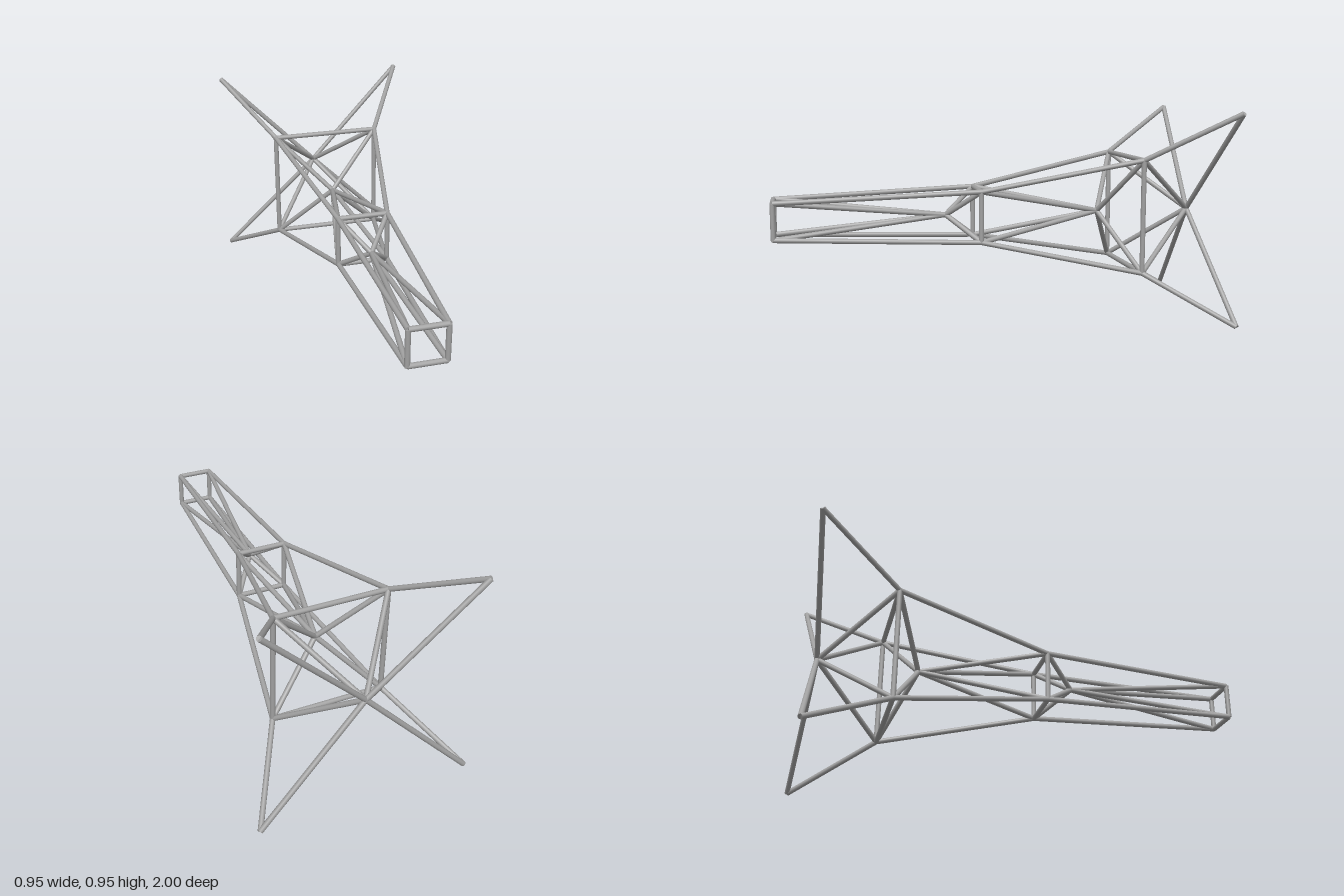
import * as THREE from 'three';

const RADIUS = 0.0115;
const CENTRE_Y = 0.475;

export function createModel() {
  const model = new THREE.Group();
  model.name = 'trussFrame';
  const steel = new THREE.MeshStandardMaterial({ color: 0xa0a0a0 });
  steel.name = 'grey steel';

  // Round bar between two points
  const strut = (name, a, b) => {
    const dir = b.clone().sub(a);
    const mesh = new THREE.Mesh(new THREE.CylinderGeometry(RADIUS, RADIUS, dir.length(), 12), steel);
    mesh.name = name;
    mesh.position.copy(a).add(b).multiplyScalar(0.5);
    mesh.quaternion.setFromUnitVectors(new THREE.Vector3(0, 1, 0), dir.normalize());
    model.add(mesh);
  };

  // Four corners of a square station along the axis
  const square = (half, z) => [[1, 1], [-1, 1], [-1, -1], [1, -1]]
    .map(([x, y]) => new THREE.Vector3(x * half, CENTRE_Y + y * half, z));

  const stations = [
    square(0.08, 0.988),
    square(0.114, 0.08),
    square(0.254, -0.627),
    square(0.465, -0.99), // free tips, no ring
  ];
  // Hub points on the axis, one in each bay
  const hubs = [0.225, -0.49, -0.935].map((z) => new THREE.Vector3(0, CENTRE_Y, z));

  // Square rings
  stations.slice(0, 3).forEach((ring) => {
    ring.forEach((corner, i) => strut('ringBar', corner, ring[(i + 1) % 4]));
  });

  // Each bay: four long edge bars, and braces from its hub to both ends
  hubs.forEach((hub, bay) => {
    for (let i = 0; i < 4; i++) {
      const front = stations[bay][i];
      const back = stations[bay + 1][i];
      strut('edgeBar', front, back);
      strut('frontBrace', hub, front);
      strut('rearBrace', hub, back);
    }
  });

  return model;
}
